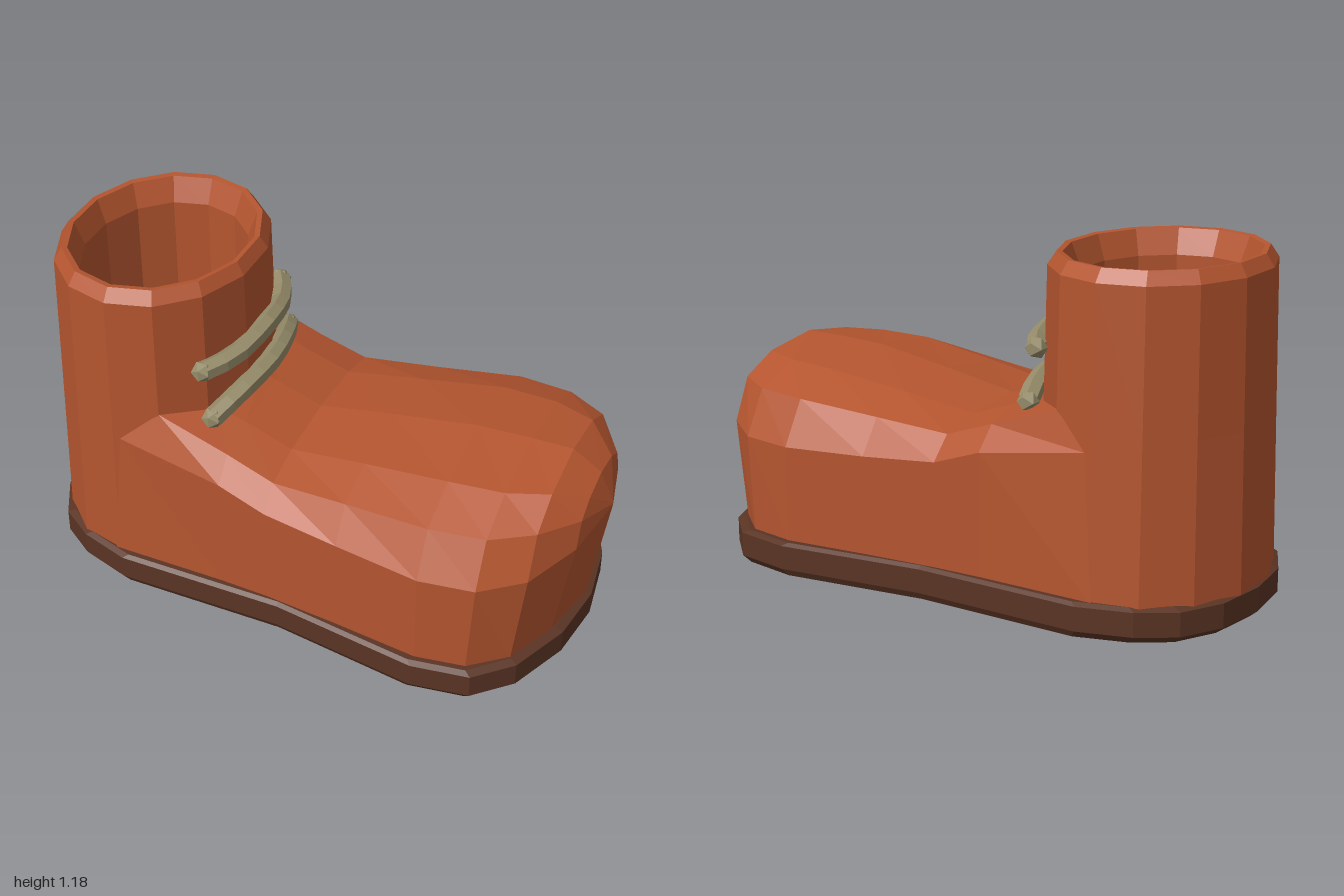
import * as THREE from 'three';

const mat = (color) => new THREE.MeshStandardMaterial({ color, flatShading: true });

// Skin a grid of rows of [x, y, z] points
function loft(rows) {
  const n = rows[0].length, index = [];
  for (let i = 0; i < rows.length - 1; i++) {
    for (let j = 0; j < n - 1; j++) {
      const a = i * n + j, b = a + n;
      index.push(a, b, a + 1, b, b + 1, a + 1);
    }
  }
  const geo = new THREE.BufferGeometry();
  geo.setAttribute('position', new THREE.Float32BufferAttribute(rows.flat(2), 3));
  geo.setIndex(index);
  geo.computeVertexNormals();
  return geo;
}

function part(name, geo, material) {
  const mesh = new THREE.Mesh(geo, material);
  mesh.name = name;
  return mesh;
}

// Sole: plan outline [x, half width] mirrored, then stacked in rings
function soleGeometry() {
  const half = [[-1, 0], [-0.975, 0.19], [-0.9, 0.335], [-0.78, 0.42], [-0.6, 0.48], [0, 0.49],
    [0.52, 0.573], [0.72, 0.545], [0.84, 0.43], [0.93, 0.22], [0.96, 0]];
  const outline = [
    ...half.map(([x, w]) => [x, -w]),
    ...half.slice(0, -1).reverse(),
  ];
  const levels = [[0, 0], [0.97, 0], [1, 0.025], [1, 0.108], [0.97, 0.118], [0, 0.118]];
  return loft(levels.map(([s, y]) => outline.map(([x, z]) => [(x + 0.02) * s - 0.02, y, z * s])));
}

// Foot: arched sections from the ankle to the toe
function footGeometry() {
  const mirror = (side) => [...side, ...side.slice(0, -1).reverse().map(([x, y, z]) => [x, y, -z])];
  // first row wraps round the front of the shaft
  const ankle = [[-0.64, 0.11, 0.445], [-0.6, 0.6, 0.43], [-0.47, 0.71, 0.385], [-0.33, 0.69, 0.24], [-0.27, 0.69, 0]];
  // [x, half width, shoulder height, top height, setback at the base]
  const stations = [
    [-0.22, 0.455, 0.54, 0.67, 0], [-0.05, 0.465, 0.48, 0.61, 0], [0.22, 0.495, 0.46, 0.655, 0],
    [0.52, 0.535, 0.45, 0.7, 0], [0.71, 0.51, 0.45, 0.705, 0.02], [0.85, 0.41, 0.46, 0.705, 0.04],
    [0.95, 0.23, 0.49, 0.64, 0.06], [1, 0, 0.52, 0.525, 0.06],
  ];
  const rows = stations.map(([x, w, s, h, back]) => mirror([
    [x - back, 0.11, w],
    [x, s, w],
    [x, s + 0.6 * (h - s), w * 0.84],
    [x, s + 0.87 * (h - s), w * 0.52],
    [x, h, 0],
  ]));
  return loft([mirror(ankle), ...rows]);
}

// Shaft: outer wall, rounded rim and inner wall in one profile
function shaftGeometry() {
  const profile = [[1.03, 0.11], [1, 0.65], [0.975, 1.135], [0.9, 1.178], [0.85, 1.175], [0.76, 1.09], [0.74, 0.115]]
    .map(([r, y]) => new THREE.Vector2(r, y));
  return new THREE.LatheGeometry(profile, 14).scale(0.36, 1, 0.43).translate(-0.625, 0, 0);
}

// Lace: bowed tube over the front of the shaft with a knot at each end
function lace(endX, endY, midX, midY, material) {
  const group = new THREE.Group();
  const ends = [-0.305, 0.305].map((z) => new THREE.Vector3(endX, endY, z));
  const path = new THREE.CatmullRomCurve3([
    ends[0],
    new THREE.Vector3(midX - 0.03, midY - 0.02, -0.19),
    new THREE.Vector3(midX, midY, 0),
    new THREE.Vector3(midX - 0.03, midY - 0.02, 0.19),
    ends[1],
  ]);
  group.add(part('laceStrand', new THREE.TubeGeometry(path, 8, 0.036, 6), material));
  for (const p of ends) {
    const knot = part('laceKnot', new THREE.IcosahedronGeometry(0.038, 0), material);
    knot.position.copy(p);
    group.add(knot);
  }
  return group;
}

export function createModel() {
  const leather = mat(0xb4552f), rubber = mat(0x5a3424), cord = mat(0x968c6a);
  const boot = new THREE.Group();
  boot.name = 'boot';
  boot.add(
    part('sole', soleGeometry(), rubber),
    part('foot', footGeometry(), leather),
    part('shaft', shaftGeometry(), leather),
  );
  const upper = lace(-0.34, 0.872, -0.25, 0.898, cord);
  upper.name = 'upperLace';
  const lower = lace(-0.31, 0.69, -0.24, 0.745, cord);
  lower.name = 'lowerLace';
  boot.add(upper, lower);
  return boot;
}
